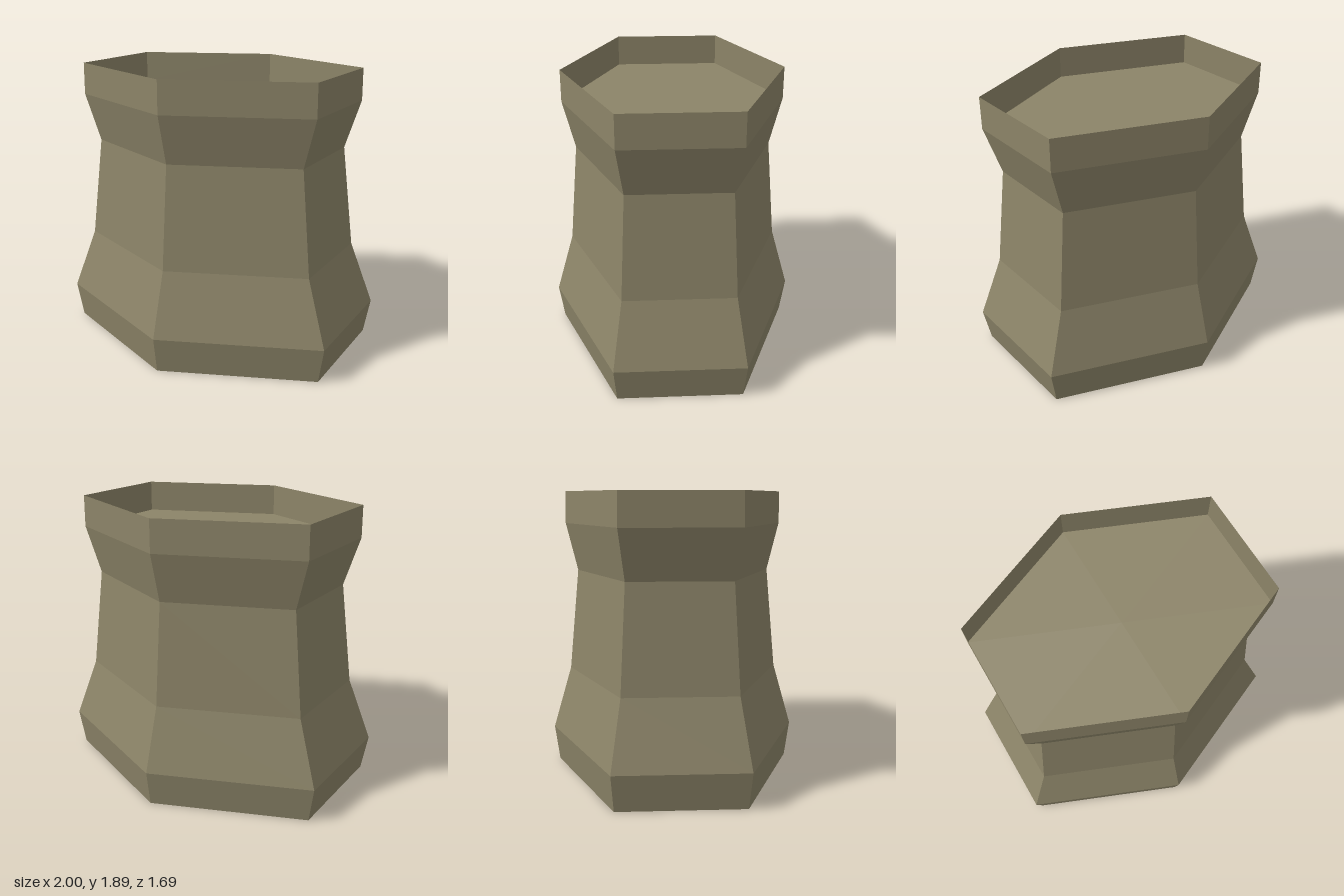
import * as THREE from 'three';

const SIDES = 6;
const STRETCH_X = 1.367; // the hexagon is wider across x than across z

// Faceted hexagonal ring following a profile of [radius, height] points
function hexLathe(name, profile, material) {
  const points = profile.map(([r, y]) => new THREE.Vector2(r, y));
  const geometry = new THREE.LatheGeometry(points, SIDES).scale(STRETCH_X, 1, 1).toNonIndexed();
  geometry.computeVertexNormals();
  const mesh = new THREE.Mesh(geometry, material);
  mesh.name = name;
  return mesh;
}

// Flat hexagonal plate at height y, facing up (1) or down (-1)
function hexPlate(name, radius, y, facing, material) {
  const geometry = new THREE.CircleGeometry(radius, SIDES, Math.PI / 2)
    .rotateX(-facing * Math.PI / 2)
    .scale(STRETCH_X, 1, 1)
    .translate(0, y, 0);
  const mesh = new THREE.Mesh(geometry, material);
  mesh.name = name;
  return mesh;
}

export function createModel() {
  // Double-sided because the rim is a single paper-thin wall
  const stone = new THREE.MeshStandardMaterial({
    color: 0x8c8468, flatShading: true, side: THREE.DoubleSide
  });
  stone.name = 'olive stone';

  const model = new THREE.Group();
  model.name = 'hexagonalPedestal';
  model.add(
    hexPlate('underside', 0.812, 0, -1, stone),
    // Flared foot
    hexLathe('foot', [[0.812, 0], [0.845, 0.24], [0.72, 0.67]], stone),
    // Tapering shaft
    hexLathe('shaft', [[0.72, 0.67], [0.655, 1.357]], stone),
    // Flared collar under the rim
    hexLathe('collar', [[0.655, 1.357], [0.733, 1.677]], stone),
    // Upright open rim around the sunken top
    hexLathe('rim', [[0.733, 1.677], [0.731, 1.89]], stone),
    hexPlate('sunkenTop', 0.733, 1.677, 1, stone)
  );
  return model;
}
